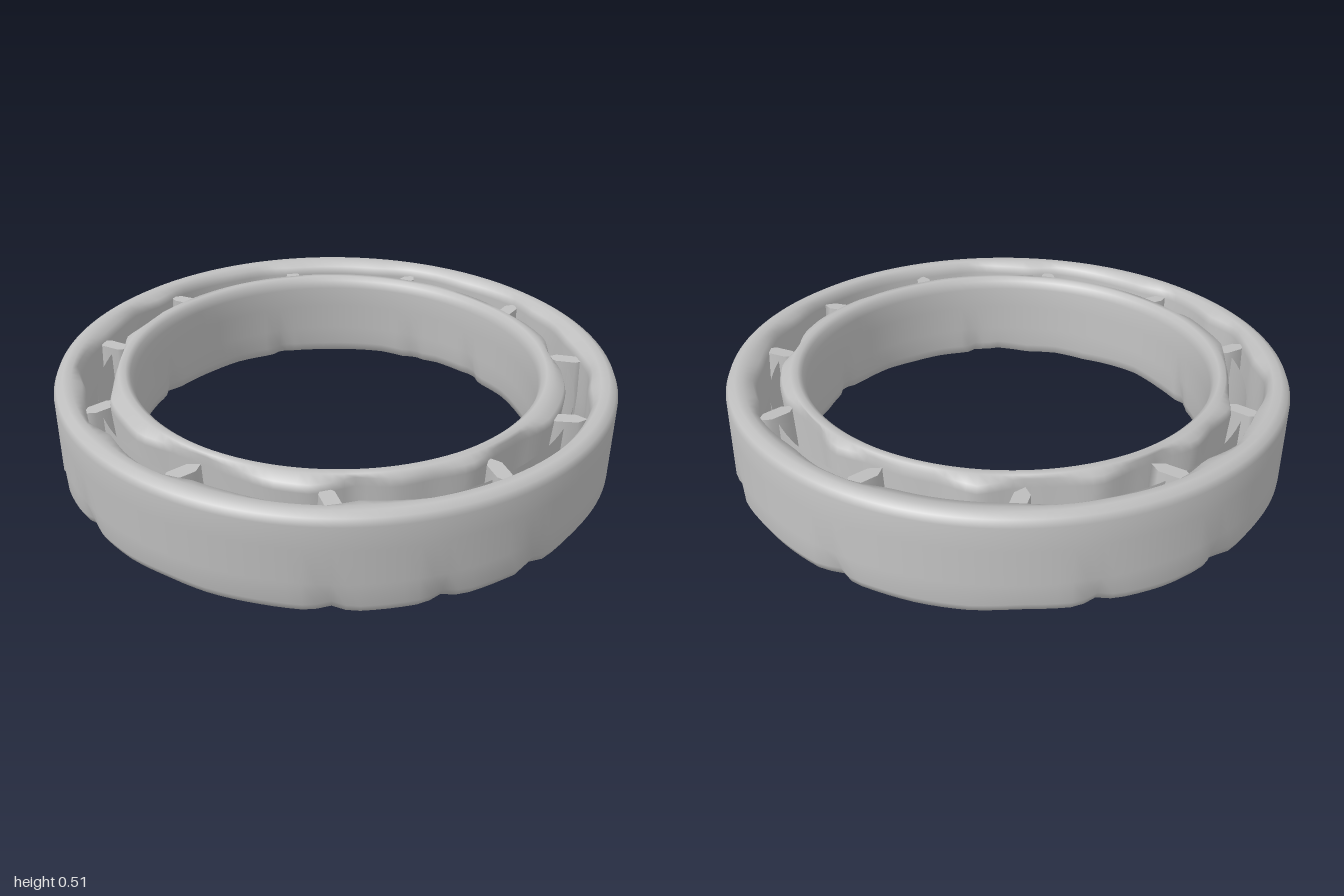
import * as THREE from 'three';
import { mergeVertices } from 'three/addons/utils/BufferGeometryUtils.js';

const steel = new THREE.MeshStandardMaterial({ color: 0xbfbfbf });
steel.name = 'steel grey';
const thinSteel = new THREE.MeshStandardMaterial({ color: 0xbfbfbf, side: THREE.DoubleSide });
thinSteel.name = 'thin steel grey';

const TAU = Math.PI * 2;

// Small seeded random
function seeded(seed) {
  return () => {
    seed = (seed * 16807) % 2147483647;
    return seed / 2147483647;
  };
}

// Jagged closed curve around the ring, with straight runs between knots
function jagged(seed, knots) {
  const rnd = seeded(seed);
  const v = Array.from({ length: knots }, () => rnd());
  return (a) => {
    const t = (((a / TAU) % 1) + 1) % 1 * knots;
    const i = Math.floor(t);
    return THREE.MathUtils.lerp(v[i % knots], v[(i + 1) % knots], t - i);
  };
}

// Revolves a closed profile, then moves each vertex by rule(radius, y, angle)
function ring(name, profile, rule) {
  const pts = [...profile, profile[0]].map(([r, y]) => new THREE.Vector2(r, y));
  let geo = new THREE.LatheGeometry(pts, 144);
  const p = geo.attributes.position;
  for (let i = 0; i < p.count; i++) {
    const x = p.getX(i), y = p.getY(i), z = p.getZ(i);
    const a = Math.atan2(x, z);
    const [r, h] = rule(Math.hypot(x, z), y, a);
    p.setXYZ(i, Math.sin(a) * r, h, Math.cos(a) * r);
  }
  geo.deleteAttribute('uv');
  geo.deleteAttribute('normal');
  geo = mergeVertices(geo, 1e-4);
  geo.computeVertexNormals();
  const mesh = new THREE.Mesh(geo, steel);
  mesh.name = name;
  return mesh;
}

// Strength of the narrow notches along a lower edge
const notch = (a, list) => list.reduce((s, n) => {
  const d = Math.abs(Math.atan2(Math.sin(a - n), Math.cos(a - n)));
  return Math.max(s, 1 - d / 0.06);
}, 0);

export function createModel() {
  const model = new THREE.Group();
  model.name = 'bearing';
  const tilted = new THREE.Group();
  tilted.name = 'tiltedRings';
  tilted.rotation.x = 0.085;
  tilted.position.y = 0.262;
  model.add(tilted);

  // Outer race: smooth outside, worn inside wall, notched lower edge
  const outerWear = jagged(41, 44), outerDrop = jagged(77, 40);
  const outerNotches = [-1.28, -1.0, -0.09, 0.26, 0.6, 1.45, 1.8, 2.1, 2.7, -2.3, -2.75];
  tilted.add(ring('outerRace', [
    [0.945, -0.178], [0.97, -0.17], [0.985, -0.14], [0.985, -0.06], [0.985, 0.06], [0.985, 0.14],
    [0.975, 0.163], [0.952, 0.176], [0.925, 0.173], [0.9, 0.158], [0.89, 0.13],
    [0.895, 0], [0.89, -0.13], [0.91, -0.165],
  ], (r, y, a) => {
    if (r < 0.915) r += 0.035 * (outerWear(a) - 0.55);
    if (y < -0.13) {
      y += 0.014 * outerDrop(a);
      if (r > 0.94) r -= 0.025 * notch(a, outerNotches);
    }
    return [r, y];
  }));

  // Inner race: smooth bore, worn outside wall
  const innerWear = jagged(19, 40), innerDrop = jagged(53, 36);
  const innerNotches = [-2.9, -2.1, -1.1, 0.3, 1.2, 2.2, 2.6];
  tilted.add(ring('innerRace', [
    [0.745, -0.175], [0.775, -0.165], [0.79, -0.13], [0.78, 0], [0.79, 0.13],
    [0.782, 0.155], [0.765, 0.172], [0.742, 0.174], [0.725, 0.16], [0.715, 0.13],
    [0.715, 0.05], [0.715, -0.05], [0.715, -0.13], [0.725, -0.165],
  ], (r, y, a) => {
    if (r > 0.77) r += 0.05 * (innerWear(a) - 0.5);
    if (y < -0.12) {
      y += 0.016 * innerDrop(a);
      if (r < 0.75) r += 0.02 * notch(a, innerNotches);
    }
    return [r, y];
  }));

  // Narrow bridges between the two races, as [x, z]
  const bridges = [[0.35, -0.77], [-0.13, -0.85], [-0.58, -0.63], [-0.83, -0.22], [-0.8, 0.25],
    [-0.52, 0.67], [-0.08, 0.84], [0.45, 0.73], [0.72, 0.42], [0.85, 0], [0.71, -0.43]];
  const angles = bridges.map(([x, z]) => Math.atan2(x, z)).sort((a, b) => a - b);
  angles.forEach((a, i) => {
    const geo = new THREE.CylinderGeometry(0.07, 0.085, 0.27, 6);
    geo.scale(0.42, 1, 1);
    const mesh = new THREE.Mesh(geo, steel);
    mesh.name = 'bridge' + (i + 1);
    mesh.position.set(Math.sin(a) * 0.84, 0, Math.cos(a) * 0.84);
    mesh.rotation.y = a + (i % 2 ? 0.35 : -0.3);
    tilted.add(mesh);
  });

  // Thin cage strips spanning from bridge to bridge
  angles.forEach((a, i) => {
    const next = i + 1 < angles.length ? angles[i + 1] : angles[0] + TAU;
    const geo = new THREE.CylinderGeometry(0.842, 0.838, 0.22, 10, 1, true, a, next - a);
    const mesh = new THREE.Mesh(geo, thinSteel);
    mesh.name = 'cageStrip' + (i + 1);
    tilted.add(mesh);
  });

  return model;
}
